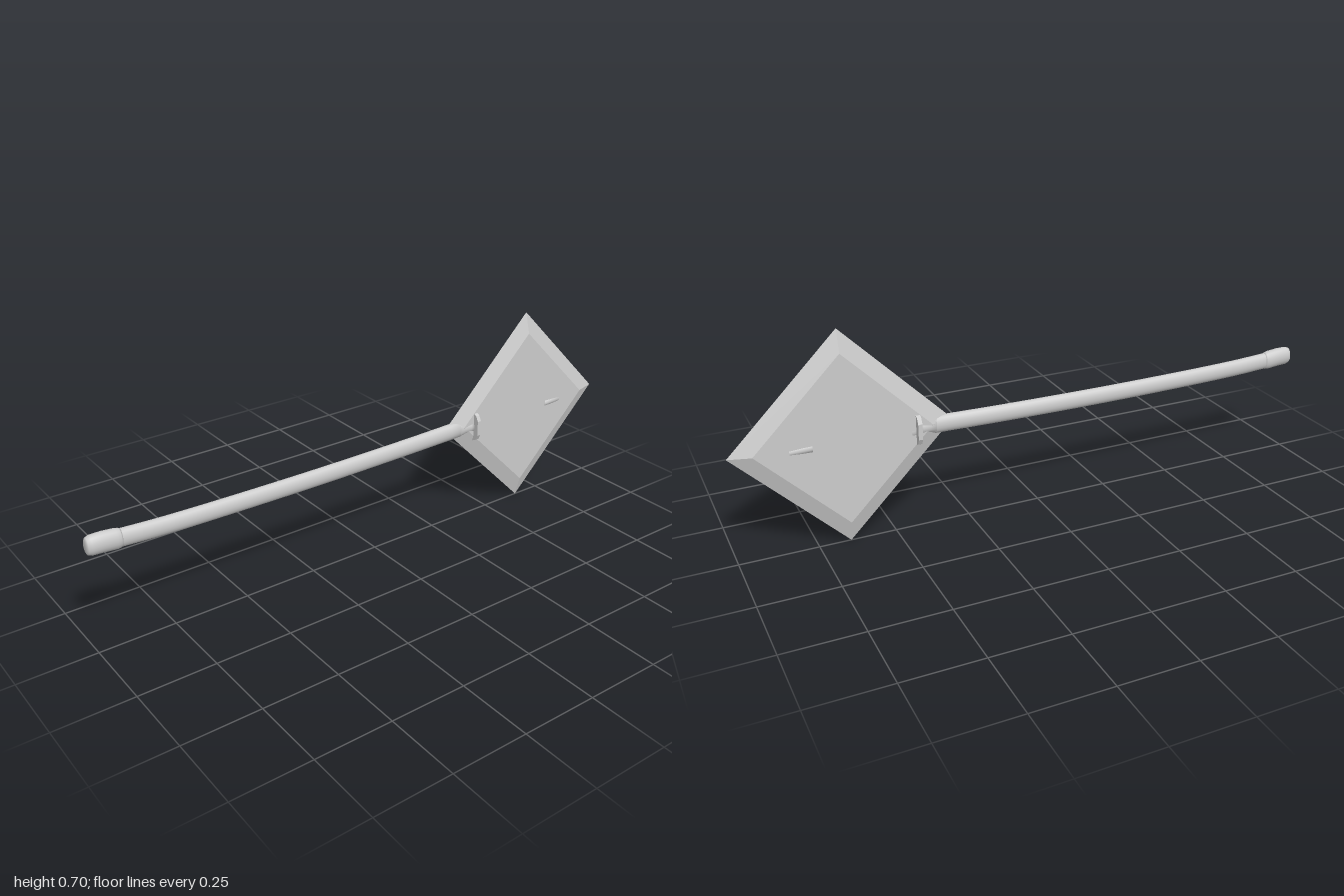
import * as THREE from 'three';

const mat = new THREE.MeshStandardMaterial({ color: 0xcccccc });
const flatMat = new THREE.MeshStandardMaterial({ color: 0xcccccc, flatShading: true });

// Closed tube along x through elliptical sections [x, centre y, half height, half depth]
function loft(name, sections, sides = 20) {
  const pos = [], idx = [];
  const first = sections[0], last = sections[sections.length - 1];
  const rings = [[first[0], first[1], 0, 0], ...sections, [last[0], last[1], 0, 0]];
  for (const [x, y, ry, rz] of rings) {
    for (let i = 0; i < sides; i++) {
      const a = (i / sides) * Math.PI * 2;
      pos.push(x, y + Math.cos(a) * ry, Math.sin(a) * rz);
    }
  }
  for (let r = 0; r < rings.length - 1; r++) {
    for (let i = 0; i < sides; i++) {
      const a = r * sides + i, b = r * sides + (i + 1) % sides;
      idx.push(a, b, a + sides, b, b + sides, a + sides);
    }
  }
  const g = new THREE.BufferGeometry();
  g.setAttribute('position', new THREE.Float32BufferAttribute(pos, 3));
  g.setIndex(idx);
  g.computeVertexNormals();
  const mesh = new THREE.Mesh(g, mat);
  mesh.name = name;
  return mesh;
}

export function createModel() {
  const model = new THREE.Group();

  // Square blade standing on its corner, bevelled to a sharp rim
  const profile = [[0, -0.02], [0.28, -0.02], [0.352, 0], [0.28, 0.02], [0, 0.02]]
    .map(([r, y]) => new THREE.Vector2(r, y));
  const bladeGeo = new THREE.LatheGeometry(profile, 4);
  bladeGeo.rotateX(Math.PI / 2);
  const blade = new THREE.Mesh(bladeGeo, flatMat);
  blade.name = 'blade';
  blade.position.set(0.648, 0.352, 0);
  model.add(blade);

  // Slightly bowed shaft
  const curve = new THREE.CatmullRomCurve3([
    [-0.92, 0.352], [-0.75, 0.343], [-0.3, 0.336], [0.1, 0.338], [0.36, 0.343],
  ].map(([x, y]) => new THREE.Vector3(x, y, 0)));
  model.add(loft('shaft', curve.getPoints(24).map(p => [p.x, p.y, 0.029, 0.019])));

  // Rounded grip end
  model.add(loft('pommel', [
    [-1, 0.357, 0.02, 0.013], [-0.996, 0.357, 0.028, 0.019], [-0.985, 0.357, 0.032, 0.022],
    [-0.95, 0.356, 0.033, 0.023], [-0.91, 0.352, 0.033, 0.023], [-0.898, 0.351, 0.031, 0.021],
    [-0.892, 0.351, 0.028, 0.018],
  ]));

  // Collar between shaft and guard
  model.add(loft('collar', [
    [0.355, 0.343, 0.029, 0.019], [0.375, 0.343, 0.024, 0.021],
    [0.4, 0.343, 0.026, 0.023], [0.412, 0.343, 0.028, 0.024],
  ]));

  // Thin faceted guard plate
  const outline = [[0.04, 0.026], [0.031, 0.044], [0.015, 0.052]];
  const upper = [...outline, ...outline.map(([z, y]) => [-z, y]).reverse()];
  const ring = [...upper, ...upper.map(([z, y]) => [-z, -y])];
  const guardGeo = new THREE.ExtrudeGeometry(
    new THREE.Shape(ring.map(p => new THREE.Vector2(...p))), { depth: 0.014, bevelEnabled: false });
  guardGeo.rotateY(Math.PI / 2);
  const guard = new THREE.Mesh(guardGeo, flatMat);
  guard.name = 'guard';
  guard.position.set(0.41, 0.343, 0);
  model.add(guard);

  // Rod ends that just break through the blade faces
  model.add(loft('frontRivet', [[0.42, 0.335, 0.022, 0.022], [0.438, 0.335, 0.022, 0.022]], 12));
  model.add(loft('rearRivet', [[0.75, 0.345, 0.018, 0.024], [0.82, 0.345, 0.018, 0.022]], 12));

  return model;
}
